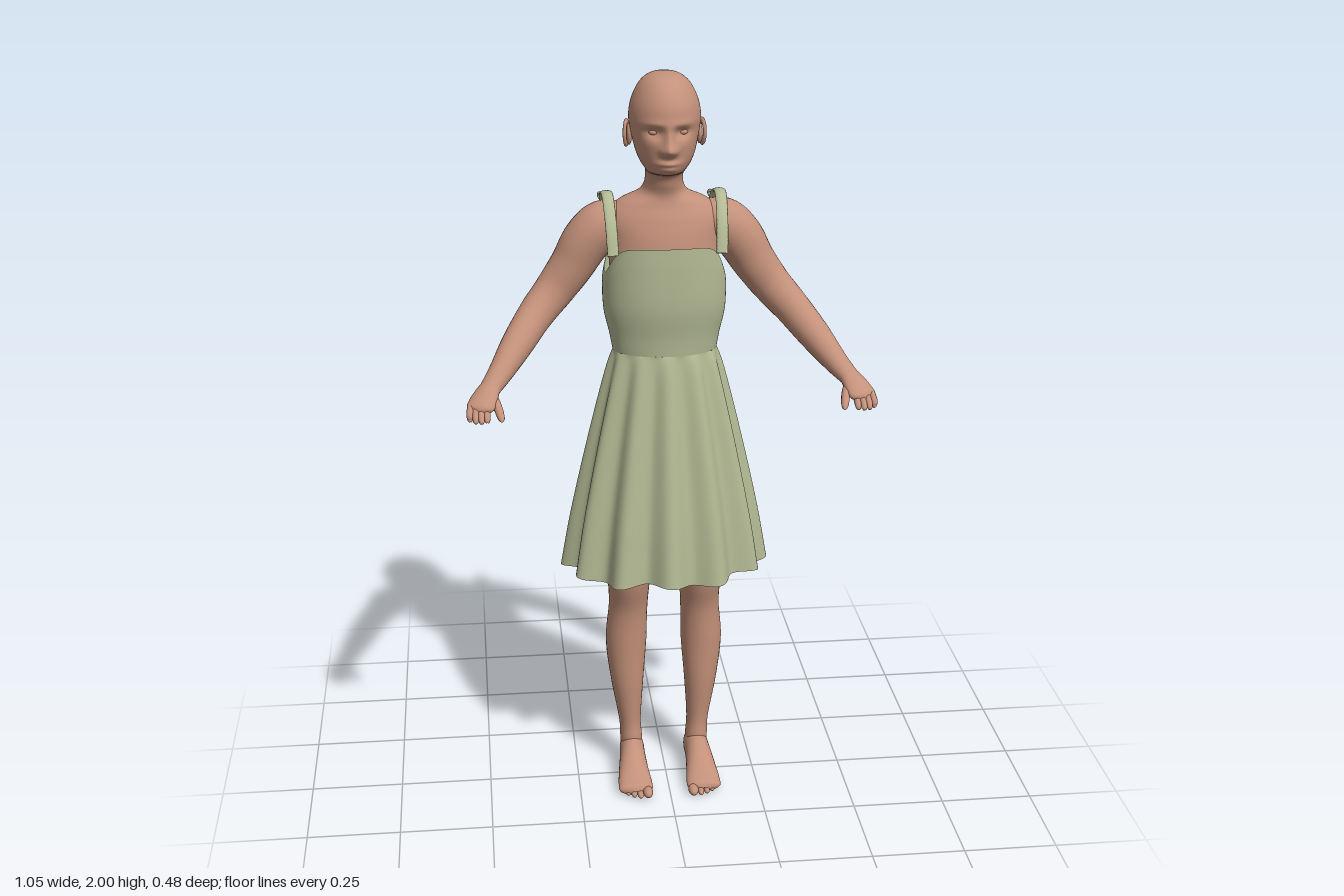
import * as THREE from 'three';

const skin = new THREE.MeshStandardMaterial({ color: 0xc4917a });
skin.name = 'skin';
const cloth = new THREE.MeshStandardMaterial({ color: 0xb3ba94, side: THREE.DoubleSide });
cloth.name = 'sage cloth';

// Catmull-Rom through rows of numbers, u in 0..1
function spline(rows, u) {
  const n = rows.length - 1, f = Math.min(u, 1) * n, i = Math.min(Math.floor(f), n - 1), t = f - i;
  const [a, b, c, d] = [rows[Math.max(i - 1, 0)], rows[i], rows[i + 1], rows[Math.min(i + 2, n)]];
  return b.map((_, k) => 0.5 * (2 * b[k] + (c[k] - a[k]) * t +
    (2 * a[k] - 5 * b[k] + 4 * c[k] - d[k]) * t * t + (3 * b[k] - a[k] - 3 * c[k] + d[k]) * t * t * t));
}

// Closed-ring surface from a point rule fn(u, angle)
function surface(rows, segs, fn) {
  const pos = [], idx = [];
  for (let r = 0; r <= rows; r++) {
    for (let s = 0; s < segs; s++) {
      pos.push(...fn(r / rows, (s / segs) * Math.PI * 2));
      if (r === rows) continue;
      const a = r * segs + s, b = r * segs + (s + 1) % segs;
      idx.push(a, a + segs, b, b, a + segs, b + segs);
    }
  }
  const g = new THREE.BufferGeometry();
  g.setAttribute('position', new THREE.Float32BufferAttribute(pos, 3));
  g.setIndex(idx);
  g.computeVertexNormals();
  return g;
}

// Tapered limb: rows of [x, y, z, radius across, radius along ref]
function limb(rows, ref, steps = 40, segs = 24) {
  const R = new THREE.Vector3(...ref), T = new THREE.Vector3(), B = new THREE.Vector3(), N = new THREE.Vector3();
  return surface(steps, segs, (u, a) => {
    const p = spline(rows, u), q0 = spline(rows, Math.max(u - 0.01, 0)), q1 = spline(rows, Math.min(u + 0.01, 1));
    T.set(q1[0] - q0[0], q1[1] - q0[1], q1[2] - q0[2]).normalize();
    B.crossVectors(T, R).normalize();
    N.crossVectors(B, T);
    const c = Math.cos(a) * Math.max(p[4], 0), s = -Math.sin(a) * Math.max(p[3], 0);
    return [p[0] + N.x * c + B.x * s, p[1] + N.y * c + B.y * s, p[2] + N.z * c + B.z * s];
  });
}

const flip = (rows, s) => rows.map(([x, ...rest]) => [x * s, ...rest]);
const power = (v, e) => Math.sign(v) * Math.abs(v) ** e;

// Point on a horizontal ring [y, half width, front z, back z]
function ring([y, w, zf, zb], a, e = 1) {
  return [w * power(Math.sin(a), e), y, (zf + zb) / 2 + (zf - zb) / 2 * power(Math.cos(a), e)];
}

// Head, neck and trunk, from the crown down
const BODY = [
  [2.0, 0, -0.025, -0.027], [1.992, 0.038, 0.025, -0.075], [1.97, 0.065, 0.06, -0.11], [1.93, 0.085, 0.085, -0.134],
  [1.89, 0.092, 0.092, -0.14], [1.86, 0.089, 0.089, -0.137], [1.83, 0.083, 0.089, -0.125], [1.8, 0.075, 0.087, -0.105],
  [1.775, 0.064, 0.083, -0.095], [1.756, 0.052, 0.072, -0.094], [1.742, 0.049, 0.035, -0.1], [1.71, 0.051, 0.02, -0.112],
  [1.685, 0.068, 0.012, -0.125], [1.66, 0.12, 0.015, -0.137], [1.62, 0.15, 0.03, -0.146], [1.56, 0.146, 0.045, -0.147],
  [1.45, 0.14, 0.055, -0.13], [1.28, 0.122, 0.04, -0.098], [1.1, 0.145, 0.06, -0.12], [0.96, 0.14, 0.06, -0.12], [0.9, 0.01, 0, -0.05],
];
// Face relief: [x, y, spread x, spread y, depth]
const FACE = [
  [0, 1.82, 0.011, 0.011, 0.028], [0, 1.846, 0.009, 0.02, 0.014], [0, 1.784, 0.019, 0.005, 0.009],
  [0, 1.77, 0.016, 0.005, 0.007], [0, 1.752, 0.02, 0.009, 0.004], [0.016, 1.816, 0.006, 0.007, 0.008],
  [0.036, 1.862, 0.015, 0.01, -0.014], [0.036, 1.884, 0.02, 0.007, 0.004], [0.045, 1.83, 0.018, 0.014, 0.003],
];
function bodyPoint(u, a) {
  const p = ring(spline(BODY, u), a), front = Math.max(0, Math.cos(a));
  let dz = 0;
  for (const [x, y, sx, sy, d] of FACE)
    dz += d * Math.exp(-(((Math.abs(p[0]) - x) / sx) ** 2 + ((p[1] - y) / sy) ** 2) / 2);
  p[2] += dz * front;
  return p;
}

const ARM = [
  [0.1, 1.605, -0.065, 0.05, 0.05], [0.155, 1.597, -0.065, 0.064, 0.064], [0.2, 1.555, -0.066, 0.064, 0.064],
  [0.24, 1.49, -0.066, 0.056, 0.058], [0.288, 1.425, -0.06, 0.049, 0.053], [0.338, 1.37, -0.03, 0.045, 0.049],
  [0.39, 1.31, 0.032, 0.041, 0.043], [0.436, 1.256, 0.095, 0.032, 0.032], [0.468, 1.224, 0.14, 0.028, 0.022],
];
const HAND = [
  [0.458, 1.234, 0.125, 0.025, 0.022], [0.472, 1.22, 0.148, 0.032, 0.021], [0.484, 1.205, 0.172, 0.037, 0.018],
  [0.493, 1.192, 0.195, 0.034, 0.014], [0.497, 1.186, 0.205, 0.003, 0.003],
];
const LEG = [
  [0.08, 0.98, -0.03, 0.07, 0.08], [0.09, 0.8, -0.03, 0.074, 0.085], [0.098, 0.64, -0.03, 0.062, 0.079],
  [0.1, 0.52, -0.046, 0.054, 0.06], [0.106, 0.4, -0.056, 0.057, 0.059], [0.104, 0.28, -0.053, 0.046, 0.05],
  [0.097, 0.15, -0.055, 0.031, 0.038], [0.094, 0.09, -0.054, 0.031, 0.039], [0.092, 0.03, -0.055, 0.028, 0.034],
];
const FOOT = [
  [0.092, 0.036, -0.102, 0.002, 0.002], [0.092, 0.037, -0.094, 0.026, 0.03], [0.092, 0.05, -0.06, 0.034, 0.048],
  [0.094, 0.05, -0.01, 0.036, 0.048], [0.096, 0.035, 0.05, 0.042, 0.034], [0.096, 0.024, 0.1, 0.047, 0.022],
  [0.096, 0.019, 0.13, 0.043, 0.016], [0.096, 0.018, 0.14, 0.003, 0.003],
];
const BODICE = [
  [1.562, 0.155, 0.074, -0.165], [1.5, 0.162, 0.076, -0.16], [1.4, 0.16, 0.075, -0.142],
  [1.32, 0.146, 0.064, -0.122], [1.27, 0.138, 0.06, -0.113],
];
const SKIRT = [
  [1.27, 0.138, 0.06, -0.113], [1.2, 0.157, 0.073, -0.124], [1.0, 0.203, 0.102, -0.163],
  [0.8, 0.244, 0.128, -0.2], [0.65, 0.268, 0.143, -0.224],
];
const STRAP = [
  [0.14, 1.545, 0.06, 0.004, 0.015], [0.143, 1.62, 0.032, 0.005, 0.015], [0.146, 1.675, -0.02, 0.006, 0.015],
  [0.147, 1.678, -0.08, 0.006, 0.016], [0.145, 1.645, -0.13, 0.006, 0.016], [0.138, 1.54, -0.158, 0.004, 0.015],
];

export function createModel() {
  const model = new THREE.Group();
  const add = (name, geo, mat, parent = model) => {
    const m = new THREE.Mesh(geo, mat);
    m.name = name;
    parent.add(m);
    return m;
  };
  const blob = (name, parent, p, r, mat = skin) => {
    const m = add(name, new THREE.SphereGeometry(1, 16, 12), mat, parent);
    m.position.set(...p);
    m.scale.set(...r);
    return m;
  };

  add('headAndTrunk', surface(180, 96, bodyPoint), skin);

  for (const s of [1, -1]) {
    const side = s > 0 ? 'left' : 'right';
    const group = (part) => {
      const g = new THREE.Group();
      g.name = side + part;
      model.add(g);
      return g;
    };

    // Eye and ear
    blob(side + 'Eye', model, [s * 0.036, 1.862, 0.059], [0.014, 0.009, 0.013]);
    const ear = group('Ear');
    blob('earBowl', ear, [s * 0.09, 1.84, -0.032], [0.008, 0.028, 0.016]);
    const rim = add('earRim', new THREE.TorusGeometry(0.016, 0.005, 8, 24), skin, ear);
    rim.position.set(s * 0.097, 1.843, -0.034);
    rim.rotation.y = Math.PI / 2 + s * 0.35;
    rim.scale.y = 1.75;

    // Arm, hand, four fingers and thumb
    const arm = group('Arm');
    add('arm', limb(flip(ARM, s), [0, 1, 0], 50, 28), skin, arm);
    add('palm', limb(flip(HAND, s), [0, 1, 0], 24), skin, arm);
    for (let i = 0; i < 4; i++) {
      const x = 0.472 + i * 0.0145, reach = [0.23, 0.236, 0.232, 0.218][i];
      add('finger', limb(flip([[x, 1.198, 0.18, 0.009, 0.009], [x + 0.003, 1.184, 0.205, 0.009, 0.009],
        [x + 0.003, 1.171, reach - 0.006, 0.007, 0.007], [x + 0.003, 1.168, reach, 0.001, 0.001]], s), [0, 1, 0], 12, 10), skin, arm);
    }
    add('thumb', limb(flip([[0.465, 1.213, 0.15, 0.015, 0.014], [0.449, 1.196, 0.185, 0.012, 0.012],
      [0.44, 1.176, 0.22, 0.009, 0.009], [0.438, 1.169, 0.233, 0.001, 0.001]], s), [0, 1, 0], 14, 12), skin, arm);

    // Leg, foot and toes
    const leg = group('Leg');
    add('leg', limb(flip(LEG, s), [0, 0, 1], 50, 32), skin, leg);
    add('foot', limb(flip(FOOT, s), [0, 1, 0], 40, 28), skin, leg);
    for (let i = 0; i < 5; i++) {
      const r = i ? 0.0095 - i * 0.0004 : 0.014;
      blob('toe', leg, [s * [0.064, 0.085, 0.102, 0.118, 0.132][i], r + 0.003, 0.14 - i * i * 0.0022], [r, r, 0.024 - i * 0.001]);
    }

    // Strap with a tied knot behind the shoulder
    const strap = group('Strap');
    add('strap', limb(flip(STRAP, s), [1, 0, 0], 40, 12), cloth, strap);
    blob('knot', strap, [s * 0.146, 1.658, -0.128], [0.013, 0.012, 0.012], cloth);
    for (const k of [-1, 1]) {
      const loop = add('bowLoop', new THREE.TorusGeometry(0.011, 0.004, 8, 16), cloth, strap);
      loop.position.set(s * 0.146 + k * 0.009, 1.652, -0.142);
      loop.rotation.set(0.6, k * 0.9, 0);
    }
  }

  // Bodice, cut lower under the arms
  add('bodice', surface(30, 96, (u, a) => {
    const p = ring(spline(BODICE, u), a, 0.78 + 0.22 * u);
    p[1] -= 0.085 * Math.sin(a) ** 6 * (1 - u) ** 2;
    return p;
  }), cloth);

  // Flared skirt with twelve soft folds
  add('skirt', surface(40, 192, (u, a) => {
    const [y, w, zf, zb] = spline(SKIRT, u), fold = 0.018 * u ** 0.8 * Math.cos(12 * a + 0.25 * Math.sin(2 * a));
    return ring([y + 0.006 * u * Math.cos(6 * a + 1) - 0.006 * u * Math.cos(a), w + fold, zf + fold, zb - fold], a);
  }), cloth);

  return model;
}
